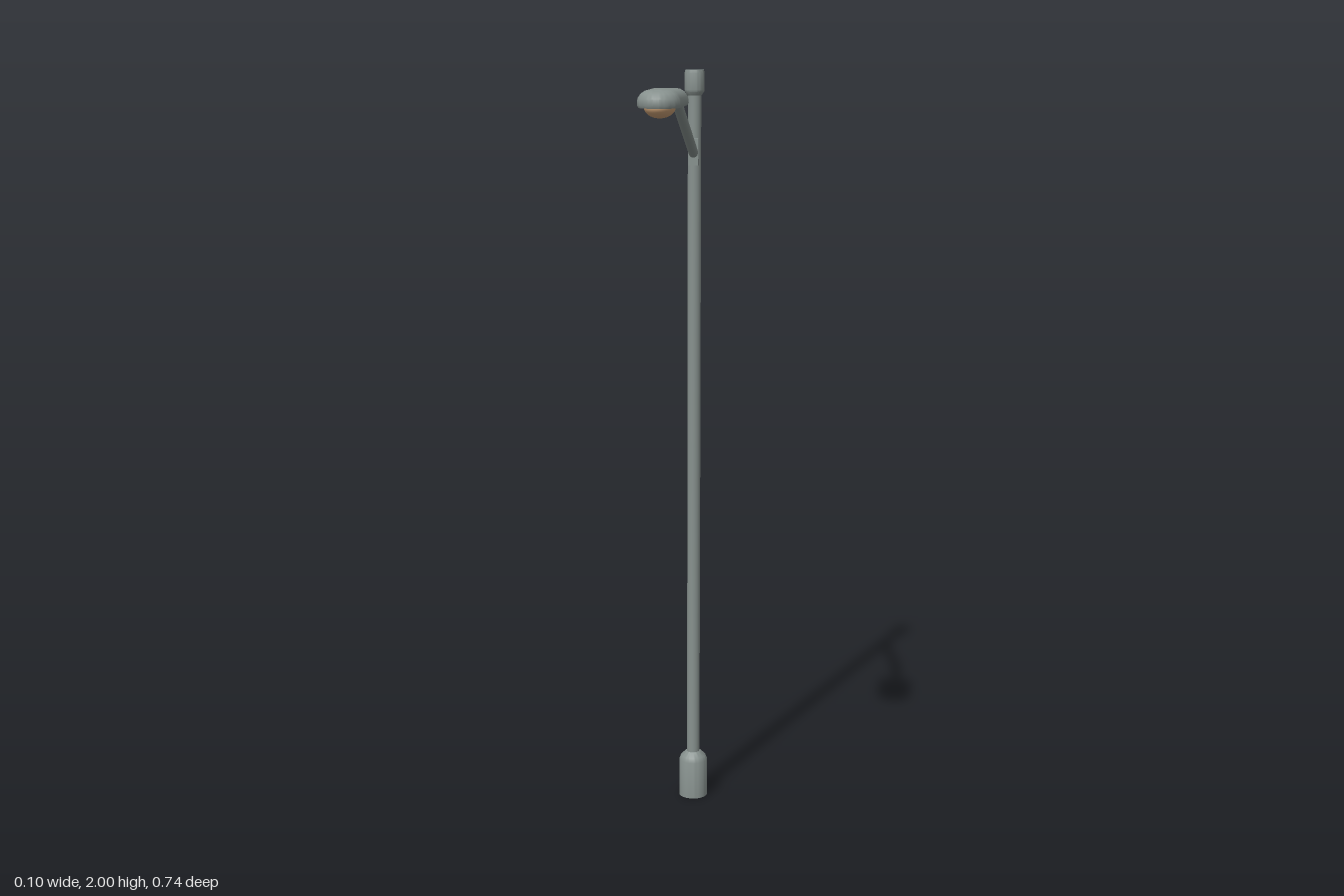
import * as THREE from 'three';
import { toCreasedNormals } from 'three/addons/utils/BufferGeometryUtils.js';

const POLE_Z = -0.331;

// Closed loft of stacked U-shaped outlines: [y, half width, front z, back z]
function loftHead(levels, arcSteps = 24) {
  const rings = levels.map(([y, w, front, back]) => {
    const ring = [[-w, y, back]];
    for (let i = 0; i <= arcSteps; i++) {
      const t = (i / arcSteps) * Math.PI;
      ring.push([-w * Math.cos(t), y, front - w + w * Math.sin(t)]);
    }
    ring.push([w, y, back]);
    return ring;
  });
  const n = rings[0].length;
  const positions = rings.flat(2);
  const index = [];
  for (let r = 0; r < rings.length - 1; r++) {
    for (let i = 0; i < n; i++) {
      const j = (i + 1) % n;
      const a = r * n + i, b = r * n + j, c = a + n, d = b + n;
      index.push(a, b, c, b, d, c);
    }
  }
  const geo = new THREE.BufferGeometry();
  geo.setAttribute('position', new THREE.Float32BufferAttribute(positions, 3));
  geo.setIndex(index);
  return toCreasedNormals(geo, 0.6);
}

function turned(profile) {
  const points = profile.map(([r, y]) => new THREE.Vector2(r, y));
  return toCreasedNormals(new THREE.LatheGeometry(points, 40), 0.5);
}

export function createModel() {
  const model = new THREE.Group();
  const steel = new THREE.MeshStandardMaterial({ color: 0x87918e });
  steel.name = 'grey steel';
  const amber = new THREE.MeshStandardMaterial({ color: 0xc89e74 });
  amber.name = 'amber lens';

  const add = (name, geometry, material, x = 0, y = 0, z = 0) => {
    const mesh = new THREE.Mesh(geometry, material);
    mesh.name = name;
    mesh.position.set(x, y, z);
    model.add(mesh);
    return mesh;
  };

  // Base sleeve, shaft and cap
  add('base', turned([[0, 0], [0.039, 0], [0.039, 0.105], [0.034, 0.117], [0.02, 0.13], [0, 0.13]]),
    steel, 0, 0, POLE_Z);
  add('pole', new THREE.CylinderGeometry(0.0175, 0.0175, 1.83, 32, 1, true), steel, 0, 1.035, POLE_Z);
  add('poleCap', turned([[0, 1.935], [0.018, 1.935], [0.025, 1.945], [0.026, 1.95], [0.026, 1.992],
    [0.024, 2], [0, 2]]), steel, 0, 0, POLE_Z);

  // Mounting plate where the arm meets the pole
  add('armBracket', new THREE.BoxGeometry(0.026, 0.07, 0.016), steel, 0, 1.792, -0.314);

  // Rising arm that bends level before the lamp
  const v = (y, z) => new THREE.Vector3(0, y, z);
  const path = new THREE.CurvePath();
  path.add(new THREE.LineCurve3(v(1.785, -0.32), v(1.938, 0.025)));
  path.add(new THREE.QuadraticBezierCurve3(v(1.938, 0.025), v(1.952, 0.057), v(1.952, 0.09)));
  path.add(new THREE.LineCurve3(v(1.952, 0.09), v(1.952, 0.22)));
  add('arm', new THREE.TubeGeometry(path, 60, 0.0125, 20, false), steel);

  // Lamp housing with rounded nose and sloped back
  add('lampHousing', loftHead([
    [1.935, 0, 0.28, 0.28],
    [1.935, 0.047, 0.367, 0.18],
    [1.941, 0.05, 0.37, 0.18],
    [1.956, 0.049, 0.369, 0.188],
    [1.967, 0.042, 0.361, 0.196],
    [1.973, 0.033, 0.35, 0.202],
    [1.975, 0.025, 0.341, 0.206],
    [1.975, 0, 0.28, 0.28],
  ]), steel);

  // Bowl lens under the housing
  const bowl = new THREE.SphereGeometry(1, 32, 12, 0, Math.PI * 2, Math.PI / 2, Math.PI / 2);
  add('lens', bowl, amber, 0, 1.936, 0.308).scale.set(0.036, 0.025, 0.046);

  return model;
}
